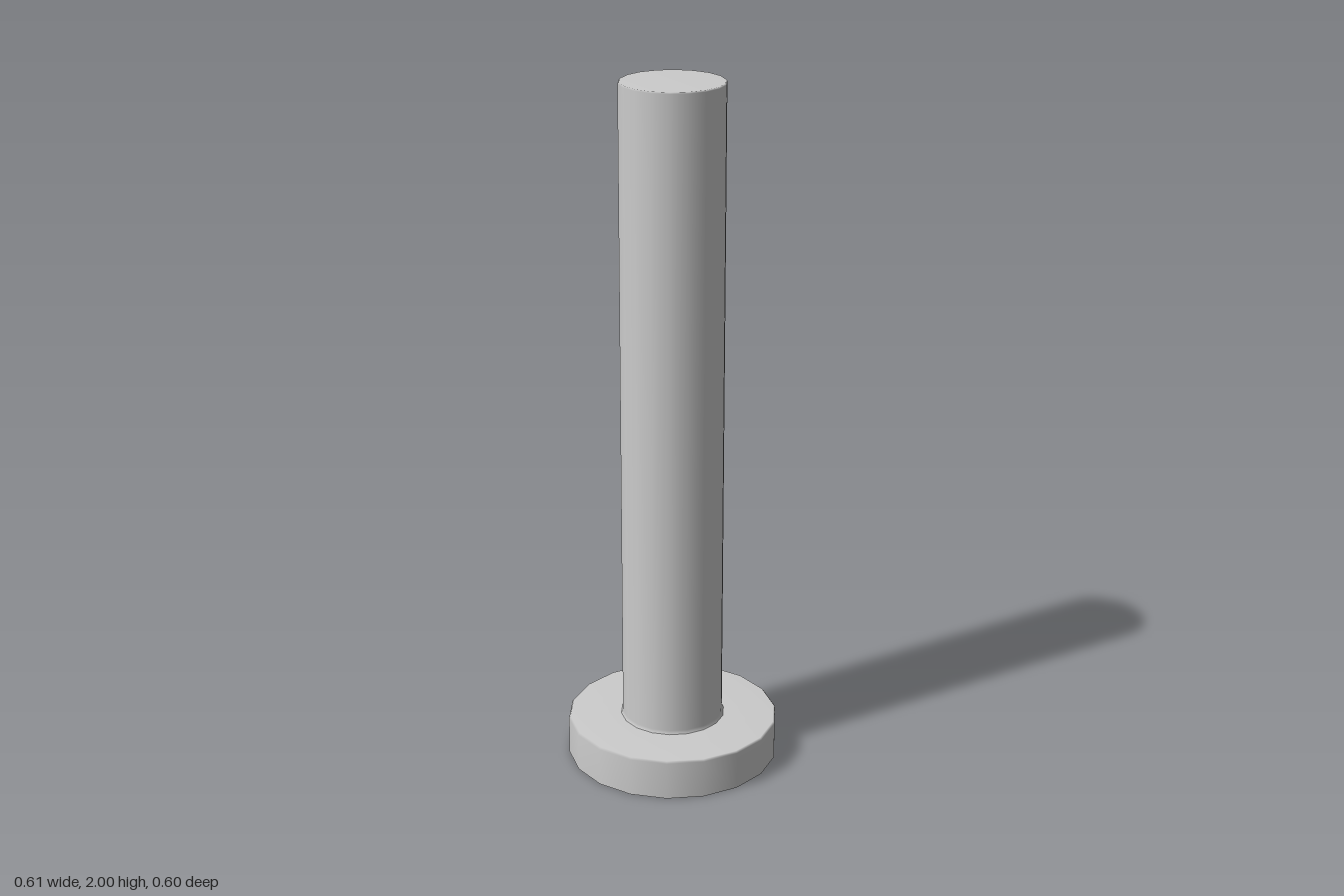
import * as THREE from 'three';

const SIDES = 18;

export function createModel() {
  const group = new THREE.Group();
  const material = new THREE.MeshStandardMaterial({ color: 0xcccccc });

  const addLathe = (name, profile) => {
    const points = profile.map(([r, y]) => new THREE.Vector2(r, y));
    const mesh = new THREE.Mesh(new THREE.LatheGeometry(points, SIDES, Math.PI / 2), material);
    mesh.name = name;
    group.add(mesh);
  };

  // Flat underside with a sharp rim
  addLathe('underside', [[0, 0], [0.307, 0]]);

  // Round foot with a softened upper edge
  addLathe('foot', [[0.307, 0], [0.307, 0.112], [0.302, 0.118], [0.152, 0.12]]);

  // Post with a small fillet at the foot and a narrow bevel at the top
  addLathe('post', [[0.152, 0.12], [0.147, 0.13], [0.147, 1.996], [0.144, 2], [0, 2]]);

  return group;
}
